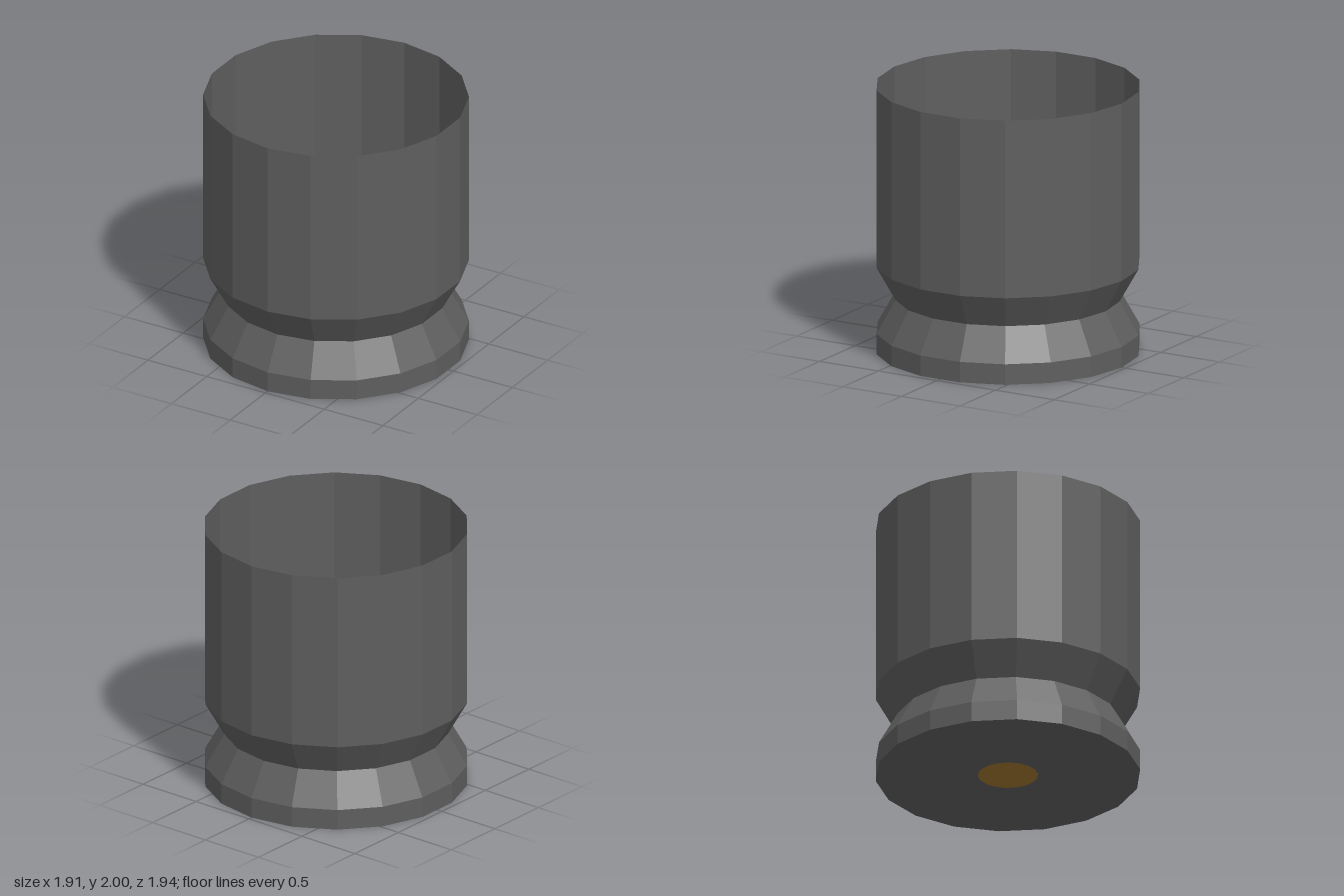
import * as THREE from 'three';

const SIDES = 18;
const RADIUS = 0.97;
const NECK = 0.83;
const PRIMER = 0.22;

function flatMaterial(name, color) {
  return new THREE.MeshStandardMaterial({ name, color, flatShading: true, side: THREE.DoubleSide });
}

export function createModel() {
  const group = new THREE.Group();
  group.name = 'openCasing';
  const grey = flatMaterial('dark grey metal', 0x5e5e5e);
  const brass = flatMaterial('brass', 0xa17631);

  const add = (name, geometry, material) => {
    const mesh = new THREE.Mesh(geometry, material);
    mesh.name = name;
    group.add(mesh);
  };

  // Thin faceted wall: rim, pinched groove, open-topped body
  const profile = [[RADIUS, 0], [RADIUS, 0.155], [NECK, 0.405], [RADIUS, 0.655], [RADIUS, 2]]
    .map(([r, y]) => new THREE.Vector2(r, y));
  add('wall', new THREE.LatheGeometry(profile, SIDES), grey);

  // Base plate with a round centre, both facing down and seen from inside
  add('base', new THREE.RingGeometry(PRIMER, RADIUS, SIDES, 1, Math.PI / 2).rotateX(Math.PI / 2), grey);
  add('baseCentre', new THREE.CircleGeometry(PRIMER, SIDES, Math.PI / 2).rotateX(Math.PI / 2), brass);

  return group;
}
